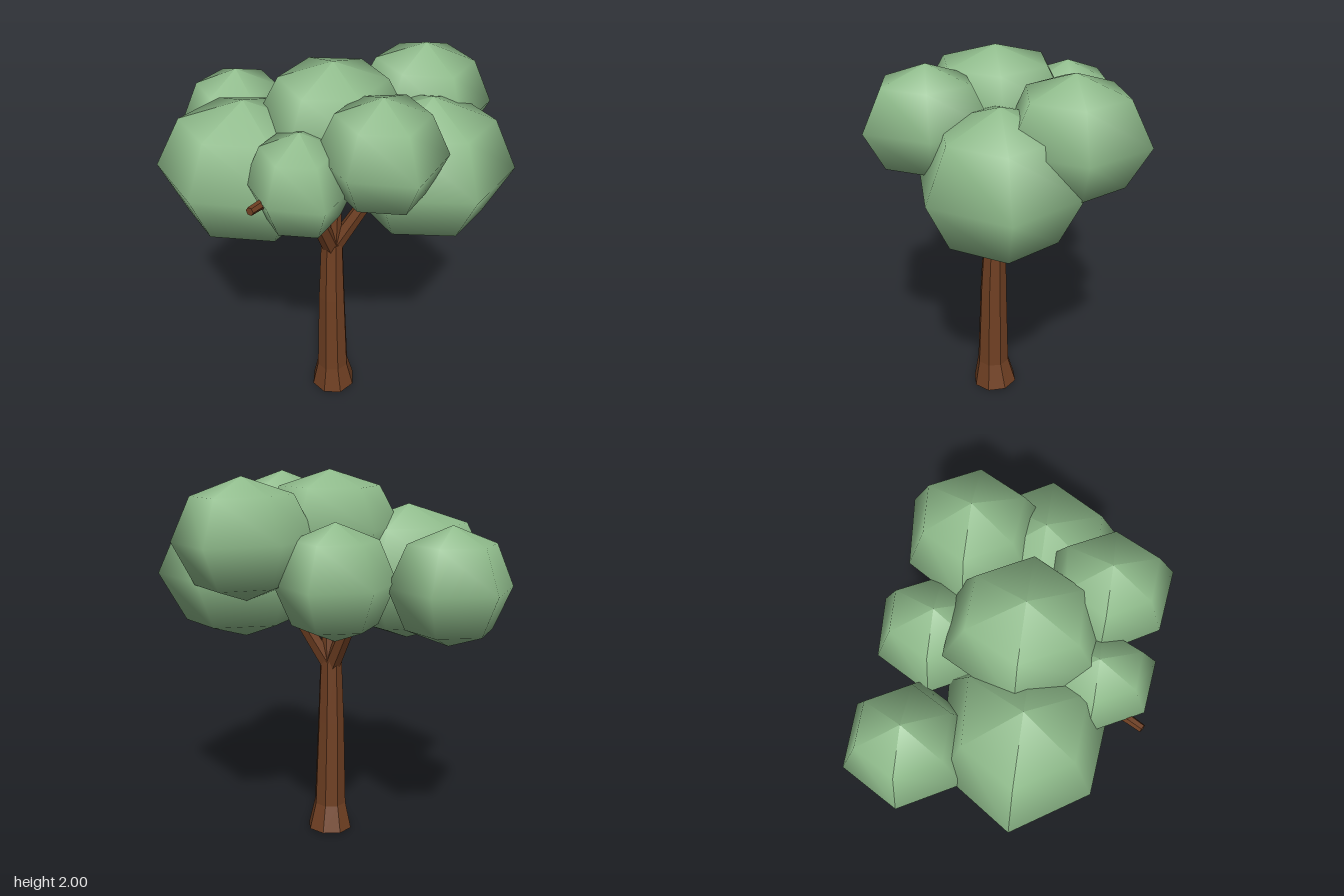
import * as THREE from 'three';

const foliageGreen = new THREE.MeshStandardMaterial({ color: 0x8fbb8b });
const barkBrown = new THREE.MeshStandardMaterial({ color: 0x6f3f22 });

// Faceted tapering limb through stations [x, y, z, radius], closed at both ends
function limbGeometry(stations, sides) {
  const centres = stations.map(([x, y, z]) => new THREE.Vector3(x, y, z));
  const up = new THREE.Vector3(0, 1, 0);
  const positions = [];
  const index = [];
  const last = stations.length - 1;
  centres.forEach((c, i) => {
    const tangent = centres[Math.min(i + 1, last)].clone().sub(centres[Math.max(i - 1, 0)]).normalize();
    const turn = new THREE.Quaternion().setFromUnitVectors(up, tangent);
    for (let j = 0; j < sides; j++) {
      const a = ((j + 0.5) / sides) * Math.PI * 2;
      const r = stations[i][3];
      const p = new THREE.Vector3(Math.cos(a) * r, 0, Math.sin(a) * r).applyQuaternion(turn).add(c);
      positions.push(p.x, p.y, p.z);
    }
  });
  const bottom = positions.length / 3;
  positions.push(...centres[0].toArray(), ...centres[last].toArray());
  for (let j = 0; j < sides; j++) {
    const k = (j + 1) % sides;
    for (let i = 0; i < last; i++) {
      const a = i * sides + j, c = i * sides + k;
      index.push(a, a + sides, c, c, a + sides, c + sides);
    }
    index.push(bottom, j, k, bottom + 1, last * sides + k, last * sides + j);
  }
  const geometry = new THREE.BufferGeometry();
  geometry.setAttribute('position', new THREE.Float32BufferAttribute(positions, 3));
  geometry.setIndex(index);
  const faceted = geometry.toNonIndexed();
  faceted.computeVertexNormals();
  return faceted;
}

// Coarse six-sided ball, deeper in z towards +x by the taper amount
function clumpGeometry(radii, taper) {
  const geometry = new THREE.SphereGeometry(1, 6, 4);
  const p = geometry.attributes.position;
  for (let i = 0; i < p.count; i++) p.setZ(i, p.getZ(i) * (1 + taper * p.getX(i)));
  geometry.scale(...radii);
  geometry.computeVertexNormals();
  return geometry;
}

export function createModel() {
  const tree = new THREE.Group();
  tree.name = 'tree';

  // Trunk with flared foot, central stump and three branches
  const limbs = [
    ['trunk', 8, [[-0.014, 0.01, 0.065, 0.125], [-0.017, 0.16, 0.073, 0.09], [-0.021, 0.65, 0.067, 0.074], [-0.02, 1.0, 0.057, 0.06]]],
    ['stump', 8, [[-0.015, 0.97, 0.057, 0.05], [-0.002, 1.2, 0.06, 0.035]]],
    ['frontBranch', 6, [[-0.02, 0.96, 0.065, 0.045], [-0.115, 1.33, 0.23, 0.042], [-0.21, 1.5, 0.39, 0.032], [-0.31, 1.545, 0.57, 0.022], [-0.345, 1.55, 0.63, 0.02]]],
    ['backBranch', 6, [[-0.02, 0.96, 0.05, 0.045], [-0.125, 1.31, -0.11, 0.04], [-0.17, 1.42, -0.18, 0.03]]],
    ['sideBranch', 6, [[-0.01, 0.97, 0.057, 0.045], [0.155, 1.25, 0.055, 0.037], [0.35, 1.5, 0.06, 0.028]]],
  ];
  for (const [name, sides, stations] of limbs) {
    const mesh = new THREE.Mesh(limbGeometry(stations, sides), barkBrown);
    mesh.name = name;
    tree.add(mesh);
  }

  // Leaf clumps: name, centre, radii, taper, tilt about z
  const clumps = [
    ['rightClump', [-0.435, 1.463, 0.1], [0.445, 0.36, 0.415], 0.12, -0.01],
    ['leftClump', [0.442, 1.492, 0.077], [0.433, 0.355, 0.412], -0.05, -0.03],
    ['crownClump', [-0.012, 1.72, 0.05], [0.365, 0.28, 0.39], -0.05, 0],
    ['frontLeftClump', [0.22, 1.715, 0.39], [0.298, 0.268, 0.315], 0.14, 0.01],
    ['frontRightClump', [-0.145, 1.56, 0.39], [0.255, 0.25, 0.295], 0.12, 0],
    ['backRightClump', [-0.545, 1.47, -0.41], [0.305, 0.29, 0.315], 0, 0],
    ['backLeftClump', [0.425, 1.685, -0.255], [0.345, 0.295, 0.345], 0.14, -0.02],
    ['backClump', [0.0, 1.49, -0.365], [0.295, 0.285, 0.322], 0.08, 0],
  ];
  for (const [name, centre, radii, taper, tilt] of clumps) {
    const mesh = new THREE.Mesh(clumpGeometry(radii, taper), foliageGreen);
    mesh.name = name;
    mesh.position.set(...centre);
    mesh.rotation.z = tilt;
    tree.add(mesh);
  }
  return tree;
}
